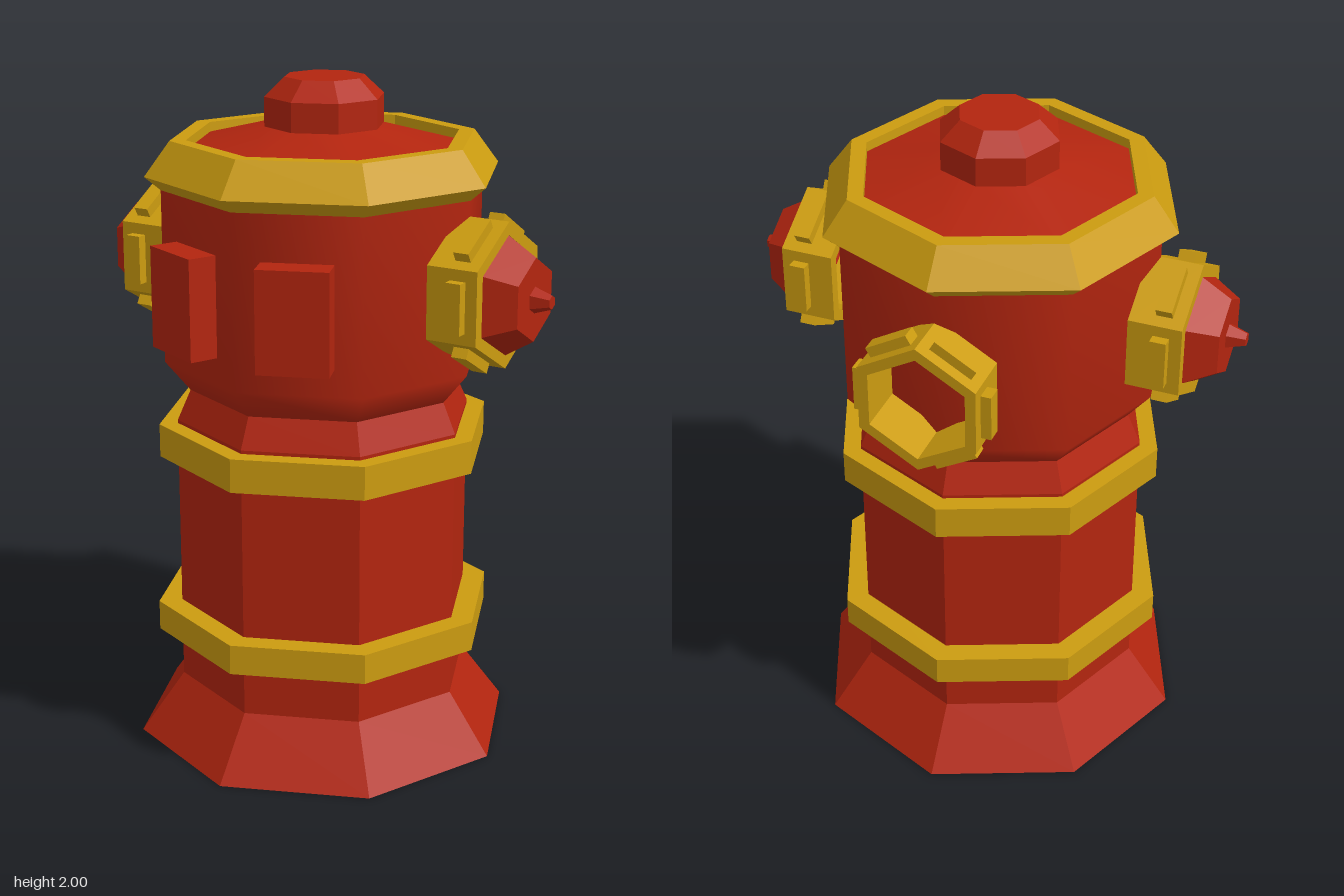
import * as THREE from 'three';

const CZ = 0.016; // shared vertical axis of the body

export function createModel() {
  const red = new THREE.MeshStandardMaterial({ color: 0xb3250f });
  red.name = 'red paint';
  red.side = THREE.DoubleSide;
  const yellow = new THREE.MeshStandardMaterial({ color: 0xcc9c10 });
  yellow.name = 'yellow paint';

  const model = new THREE.Group();
  model.name = 'hydrant';

  // Revolved profile [radius, height], faceted unless smooth
  const turned = (name, profile, sides, material, smooth = false) => {
    let geo = new THREE.LatheGeometry(profile.map(([r, y]) => new THREE.Vector2(r, y)), sides);
    if (!smooth) {
      geo = geo.toNonIndexed();
      geo.computeVertexNormals();
    }
    const mesh = new THREE.Mesh(geo, material);
    mesh.name = name;
    return mesh;
  };
  const addTurned = (...args) => {
    const mesh = turned(...args);
    mesh.position.z = CZ;
    model.add(mesh);
  };
  // Closed rectangular section
  const band = (inner, outer, y0, y1) =>
    [[inner, y0], [outer, y0], [outer, y1], [inner, y1], [inner, y0]];

  // Flared base and barrel, open underneath
  addTurned('barrel', [[0.577, 0], [0.445, 0.18], [0.445, 1.0], [0.405, 1.09]], 8, red);
  addTurned('lowerBand', band(0.41, 0.515, 0.335, 0.425), 8, yellow);
  addTurned('upperBand', band(0.41, 0.5, 0.89, 0.99), 8, yellow);

  // Rounded head, collar, lid and top knob
  addTurned('head', [[0.405, 1.09], [0.478, 1.18], [0.478, 1.7]], 8, red, true);
  addTurned('collar',
    [[0.4, 1.69], [0.478, 1.69], [0.525, 1.73], [0.45, 1.83], [0.403, 1.83], [0.4, 1.69]], 8, yellow);
  addTurned('lid', [[0.42, 1.797], [0.17, 1.862]], 8, red, true);
  addTurned('knob', [[0.176, 1.85], [0.176, 1.945], [0.117, 2], [0, 2]], 8, red);

  // Two slanted blocks on the front facets
  for (const side of [-1, 1]) {
    const angle = side * Math.PI / 8;
    const block = new THREE.Mesh(new THREE.BoxGeometry(0.205, 0.295, 0.14), red);
    block.name = side > 0 ? 'leftFrontBlock' : 'rightFrontBlock';
    block.position.set(Math.sin(angle) * 0.458, 1.408, CZ + Math.cos(angle) * 0.458);
    block.rotation.y = angle;
    model.add(block);
  }

  // Hexagonal outlet flange with a raised plate on each flat, facing local +z
  const outlet = (name, radius, capped) => {
    const group = new THREE.Group();
    group.name = name;
    const ring = turned('flange', band(radius * 0.82, radius, -0.03, 0.125), 6, yellow);
    ring.rotation.x = Math.PI / 2;
    group.add(ring);
    const flat = radius * Math.cos(Math.PI / 6);
    for (let i = 0; i < 6; i++) {
      const a = i * Math.PI / 3;
      const plate = new THREE.Mesh(new THREE.BoxGeometry(0.04, radius * 0.69, 0.047), yellow);
      plate.name = 'flangePlate';
      plate.position.set(Math.cos(a) * (flat + 0.01), Math.sin(a) * (flat + 0.01), 0.066);
      plate.rotation.z = a;
      group.add(plate);
    }
    if (capped) {
      const cap = turned('cap',
        [[0.173, 0.1], [0.173, 0.123], [0.12, 0.21], [0.038, 0.21], [0.02, 0.263], [0, 0.263]], 6, red);
      cap.rotation.x = Math.PI / 2;
      group.add(cap);
    }
    model.add(group);
    return group;
  };

  for (const side of [-1, 1]) {
    const nozzle = outlet(side > 0 ? 'leftOutlet' : 'rightOutlet', 0.211, true);
    nozzle.position.set(side * 0.475, 1.435, CZ);
    nozzle.rotation.y = side * Math.PI / 2;
  }
  const back = outlet('backOutlet', 0.197, false);
  back.position.set(0, 1.408, -0.47);
  back.rotation.y = Math.PI;

  return model;
}
